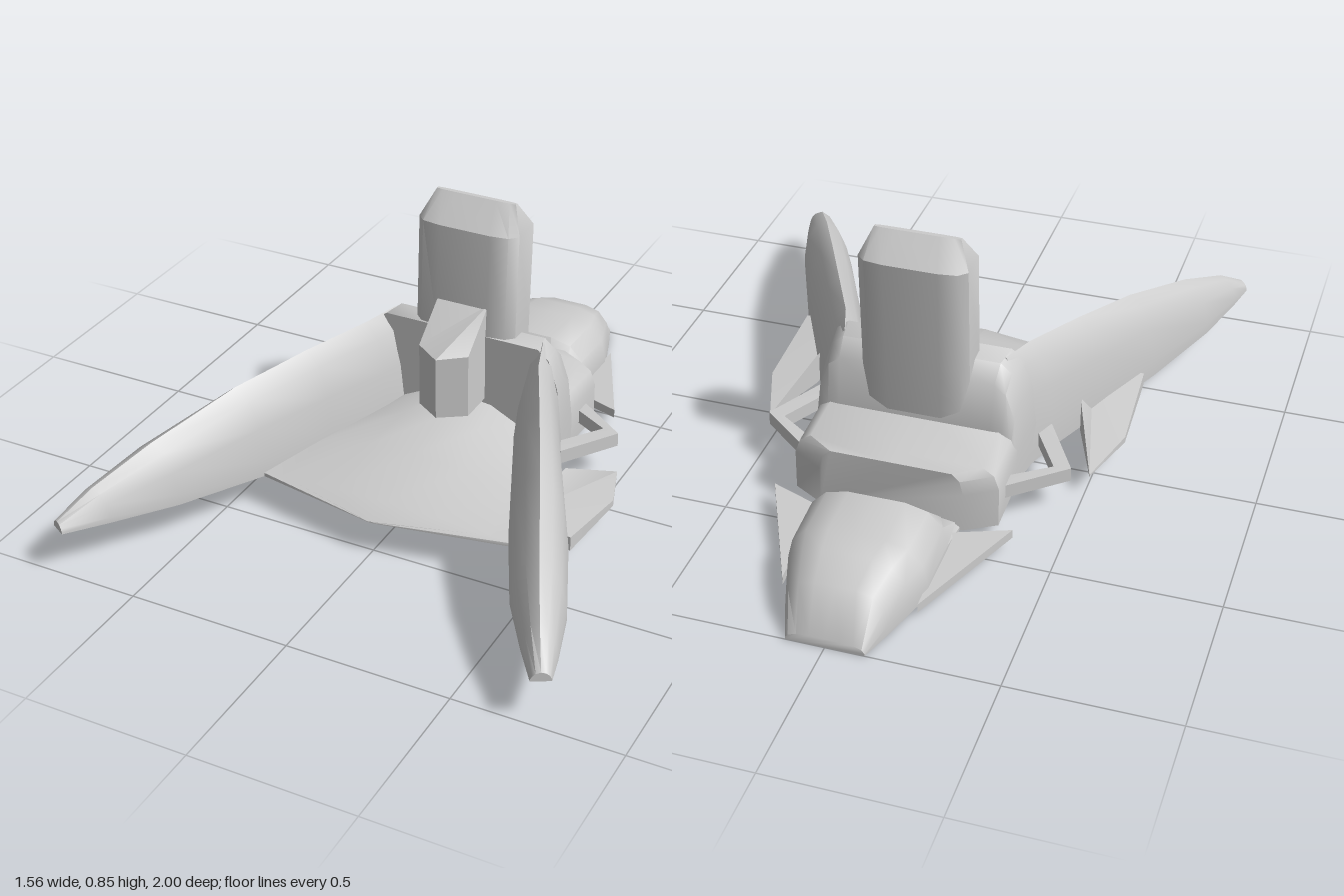
import * as THREE from 'three';
import { toCreasedNormals } from 'three/addons/utils/BufferGeometryUtils.js';

// The whole underside lies on one gently tilted plane
const base = z => 0.075 + 0.07 * z;

const material = new THREE.MeshStandardMaterial({ color: 0xcccccc });

// Skin a list of equal-length closed rings of [x, y, z], with caps at both ends
function loft(name, rings, crease = 0.7) {
  const n = rings[0].length, tris = [];
  for (let r = 0; r < rings.length - 1; r++) {
    const a = rings[r], b = rings[r + 1];
    for (let i = 0; i < n; i++) {
      const j = (i + 1) % n;
      tris.push([a[i], a[j], b[j]], [a[i], b[j], b[i]]);
    }
  }
  const last = rings[rings.length - 1];
  for (let i = 1; i < n - 1; i++) {
    tris.push([rings[0][0], rings[0][i + 1], rings[0][i]], [last[0], last[i], last[i + 1]]);
  }
  // Signed volume tells whether the faces point outward; mirrored parts get flipped
  const v = tris.map(t => t.map(p => new THREE.Vector3(...p)));
  const volume = v.reduce((s, [a, b, c]) => s + a.dot(b.clone().cross(c)), 0);
  const points = v.flatMap(t => (volume < 0 ? [t[0], t[2], t[1]] : t));
  const geometry = toCreasedNormals(new THREE.BufferGeometry().setFromPoints(points), crease);
  const mesh = new THREE.Mesh(geometry, material);
  mesh.name = name;
  return mesh;
}

// Symmetric hull section: profile entries are [fraction of half width, fraction of height]
const hullRing = (z, w, top, profile) => {
  const half = profile.map(([u, v]) => [u * w, base(z) + v * (top - base(z)), z]);
  return [...half, ...half.slice().reverse().map(([x, y, zz]) => [-x, y, zz])];
};

// Flat-bottomed plate: corners are [x, z, thickness]
const plate = (name, s, corners) => loft(name, [
  corners.map(([x, z]) => [s * x, base(z), z]),
  corners.map(([x, z, t]) => [s * x, base(z) + t, z]),
]);

// Forward arm: domed sections [z, inner x, outer x, ridge y]
function arm(s) {
  const sections = [
    [-0.12, 0.18, 0.32, 0.45], [0, 0.21, 0.37, 0.442], [0.2, 0.3, 0.47, 0.422],
    [0.43, 0.4, 0.585, 0.388], [0.7, 0.53, 0.7, 0.312], [0.88, 0.645, 0.755, 0.24], [0.99, 0.728, 0.778, 0.172],
  ];
  const dome = [[0, 0], [0, 0.18], [0.1, 0.55], [0.26, 0.86], [0.5, 1], [0.72, 0.88], [0.9, 0.6], [1, 0.18], [1, 0]];
  return loft(s > 0 ? 'leftArm' : 'rightArm', sections.map(([z, xi, xo, top]) => dome.map(([u, v]) => {
    const zz = z > 0.95 ? 1 - u * 0.03 : z;
    return [s * (xi + u * (xo - xi)), base(zz) + v * (top - base(zz)), zz];
  })), 0.8);
}

// Bent side strut, a square bar following three points in plan
function strut(s) {
  const path = [[0.27, -0.325], [0.45, -0.195], [0.345, -0.02]];
  const offset = [[-0.014, 0.02], [-0.026, -0.003], [-0.022, -0.014]];
  return loft(s > 0 ? 'leftStrut' : 'rightStrut', path.map(([x, z], i) => {
    const [dx, dz] = offset[i], y = base(z) + 0.067;
    return [[1, 1], [1, -1], [-1, -1], [-1, 1]].map(([a, b]) => [s * (x + a * dx), y + b * 0.022, z + a * dz]);
  }), 0.4);
}

export function createModel() {
  const model = new THREE.Group();
  model.name = 'spacecraft';

  // Deck between the arms, pointed at the front
  const deckProfile = [[1, 0], [1, 0.45], [0.8, 0.6], [0.4, 0.9], [0, 1]];
  model.add(loft('deck', [[-0.1, 0.25, 0.235], [0.06, 0.3, 0.22], [0.24, 0.39, 0.185], [0.43, 0.43, 0.132], [0.515, 0.01, 0.115]]
    .map(([z, w, h]) => hullRing(z, w, h, deckProfile)), 0.8));

  // Shoulder joining the arms, falling steeply to the rear
  const shoulderProfile = [[1, 0], [1, 0.35], [0.96, 0.68], [0.87, 0.92], [0.76, 1], [0, 1]];
  model.add(loft('shoulder', [[-0.07, 0.335, 0.45], [-0.15, 0.32, 0.447], [-0.2, 0.315, 0.4], [-0.225, 0.31, 0.256]]
    .map(([z, w, h]) => hullRing(z, w, h, shoulderProfile)), 0.8));

  // Rear body with clipped back corners
  const bodyProfile = [[1, 0], [1, 0.65], [0.95, 0.88], [0.84, 1], [0, 1]];
  model.add(loft('rearBody', [[-0.17, 0.313, 0.257], [-0.39, 0.313, 0.243], [-0.44, 0.22, 0.238]]
    .map(([z, w, h]) => hullRing(z, w, h, bodyProfile))));

  // Domed tail pod
  const podProfile = [[1, 0], [1, 0.25], [0.93, 0.62], [0.72, 0.9], [0.4, 1], [0, 1]];
  model.add(loft('tailPod', [[-0.43, 0.21, 0.072], [-0.56, 0.212, 0.2], [-0.73, 0.208, 0.192], [-0.81, 0.182, 0.185],
    [-0.905, 0.15, 0.145], [-1, 0.115, 0.035]].map(([z, w, h]) => hullRing(z, w, h, podProfile)), 0.8));

  // Tower: chamfered sections [y, half width, front z, back z] closing to a ridge
  model.add(loft('tower', [[0.25, 0.165, -0.075, -0.222], [0.45, 0.165, -0.072, -0.235], [0.78, 0.165, -0.09, -0.256], [0.858, 0.13, -0.168, -0.182]]
    .map(([y, w, f, b]) => {
      const c = (f - b) * 0.2;
      return [[w, f - c], [w * 0.85, f - c * 0.25], [w * 0.5, f], [-w * 0.5, f], [-w * 0.85, f - c * 0.25], [-w, f - c],
        [-w, b + c], [-w * 0.85, b + c * 0.25], [-w * 0.5, b], [w * 0.5, b], [w * 0.85, b + c * 0.25], [w, b + c]]
        .map(([x, z]) => [x, y, z]);
    })));

  // Prow in front of the tower, with a sloping top: plan corners with their top heights
  const prow = [[0.082, -0.09, 0.55], [0.082, 0.045, 0.44], [0, 0.098, 0.435], [-0.082, 0.045, 0.44], [-0.082, -0.09, 0.55]];
  model.add(loft('prow', [prow.map(([x, z]) => [x, 0.235, z]), prow.map(([x, z, y]) => [x, y, z])], 0.6));

  for (const s of [1, -1]) {
    const side = s > 0 ? 'left' : 'right';
    model.add(arm(s), strut(s));
    // Swept winglet under the arm
    model.add(plate(side + 'Winglet', s, [[0.4, 0.37, 0.07], [0.565, 0.37, 0.045], [0.576, 0.08, 0.02], [0.512, -0.105, 0.006], [0.43, 0.1, 0.1]]));
    // Forward-pointing tail fin
    model.add(plate(side + 'TailFin', s, [[0.2, -0.49, 0.028], [0.367, -0.43, 0.028], [0.2, -0.8, 0.028]]));
  }
  return model;
}
